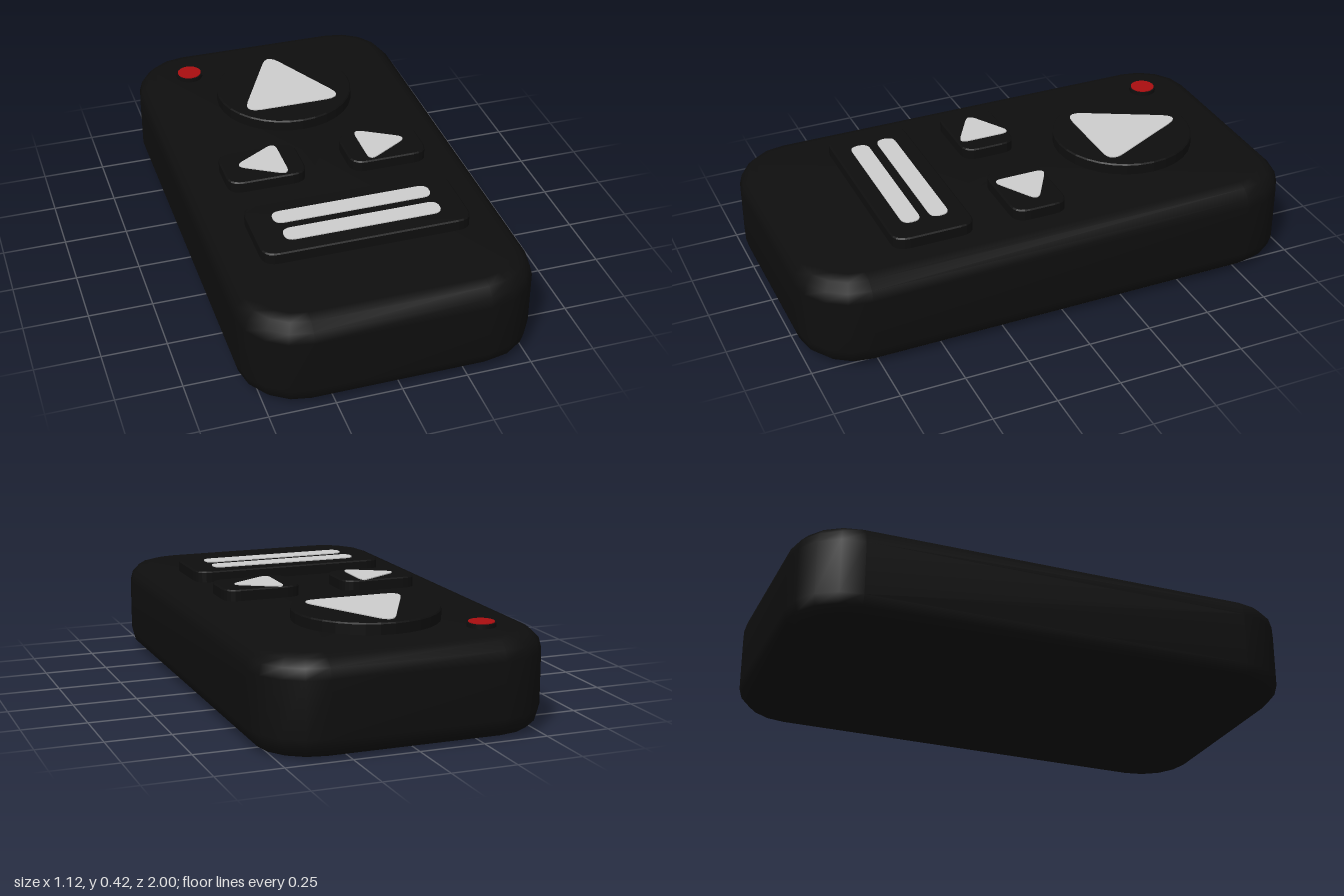
import * as THREE from 'three';

const mat = (name, color) => {
  const m = new THREE.MeshStandardMaterial({ color });
  m.name = name;
  return m;
};

// Closed outline from [x, z] corners, each corner rounded off by the given cut
function roundedOutline(corners, cut) {
  const pts = corners.map(([x, z]) => new THREE.Vector2(x, -z));
  if (THREE.ShapeUtils.area(pts) < 0) pts.reverse();
  const shape = new THREE.Shape();
  pts.forEach((p, i) => {
    const prev = pts[(i + pts.length - 1) % pts.length];
    const next = pts[(i + 1) % pts.length];
    const a = p.clone().add(prev.clone().sub(p).setLength(cut));
    const b = p.clone().add(next.clone().sub(p).setLength(cut));
    if (i === 0) shape.moveTo(a.x, a.y);
    else shape.lineTo(a.x, a.y);
    shape.quadraticCurveTo(p.x, p.y, b.x, b.y);
  });
  shape.closePath();
  return shape;
}

const rect = (x0, x1, z0, z1) => [[x0, z0], [x1, z0], [x1, z1], [x0, z1]];

// Upright slab from an outline, standing between y0 and y1
function slab(shape, y0, y1, bevel = 0) {
  const geo = new THREE.ExtrudeGeometry(shape, {
    depth: y1 - y0 - bevel, curveSegments: 5, bevelEnabled: bevel > 0,
    bevelThickness: bevel, bevelSize: bevel, bevelOffset: -bevel, bevelSegments: 1,
  });
  return geo.rotateX(-Math.PI / 2).translate(0, y0, 0);
}

// Rounded body: stacked rounded-rectangle rings, closed by flat caps
function bodyGeometry(w, l, h, radius, bevel, cornerSegs, bevelSegs) {
  const rings = [];
  for (let i = 0; i <= bevelSegs; i++) {
    const a = (i / bevelSegs) * Math.PI / 2;
    rings.push([bevel * (1 - Math.sin(a)), bevel * (1 - Math.cos(a))]);
  }
  for (let i = bevelSegs; i >= 0; i--) rings.push([rings[i][0], h - rings[i][1]]);

  const pos = [], index = [], n = 4 * (cornerSegs + 1);
  for (const [inset, y] of rings) {
    for (let c = 0; c < 4; c++) {
      const cx = (c === 0 || c === 3 ? 1 : -1) * (w / 2 - radius);
      const cz = (c < 2 ? 1 : -1) * (l / 2 - radius);
      for (let s = 0; s <= cornerSegs; s++) {
        const a = (c + s / cornerSegs) * Math.PI / 2;
        pos.push(cx + (radius - inset) * Math.cos(a), y, cz + (radius - inset) * Math.sin(a));
      }
    }
  }
  for (let r = 0; r < rings.length - 1; r++) {
    for (let i = 0; i < n; i++) {
      const a = r * n + i, b = r * n + (i + 1) % n;
      index.push(a, a + n, b, b, a + n, b + n);
    }
  }
  const bottom = pos.length / 3;
  pos.push(0, 0, 0, 0, h, 0);
  const last = (rings.length - 1) * n;
  for (let i = 0; i < n; i++) {
    const j = (i + 1) % n;
    index.push(bottom, i, j, bottom + 1, last + j, last + i);
  }
  const geo = new THREE.BufferGeometry();
  geo.setAttribute('position', new THREE.Float32BufferAttribute(pos, 3));
  geo.setIndex(index);
  geo.computeVertexNormals();
  return geo;
}

export function createModel() {
  const black = mat('black plastic', 0x0e0e0e);
  const grey = mat('light grey print', 0xcccccc);
  const red = mat('red indicator', 0xa80d10);
  const model = new THREE.Group();
  model.name = 'remoteControl';
  const add = (name, geo, material) => {
    const mesh = new THREE.Mesh(geo, material);
    mesh.name = name;
    model.add(mesh);
    return mesh;
  };

  const deck = 0.37, keyTop = 0.414, iconTop = 0.418, sunk = 0.35;

  add('body', bodyGeometry(1.12, 2, deck, 0.23, 0.08, 4, 3), black);

  // Large round key with its triangle
  const disc = new THREE.Shape().absarc(0, 0.5, 0.28, 0, Math.PI * 2);
  const roundKey = new THREE.ExtrudeGeometry(disc, {
    depth: keyTop - sunk - 0.005, curveSegments: 16,
    bevelThickness: 0.005, bevelSize: 0.005, bevelOffset: -0.005, bevelSegments: 1,
  });
  add('roundKey', roundKey.rotateX(-Math.PI / 2).translate(0, sunk, 0), black);
  const up = roundedOutline([[0, -0.77], [0.215, -0.345], [-0.215, -0.345]], 0.08);
  add('upTriangle', slab(up, keyTop - 0.003, iconTop), grey);

  // Pair of side keys with outward triangles
  for (const [side, s] of [['left', 1], ['right', -1]]) {
    const key = roundedOutline(rect(s * 0.09, s * 0.403, -0.073, 0.147), 0.06);
    add(side + 'Key', slab(key, sunk, keyTop, 0.005), black);
    const arrow = roundedOutline([[s * 0.162, -0.085], [s * 0.355, 0.03], [s * 0.162, 0.145]], 0.045);
    add(side + 'Triangle', slab(arrow, keyTop - 0.003, iconTop), grey);
  }

  // Wide key with two bars
  const wide = roundedOutline(rect(-0.403, 0.403, 0.305, 0.625), 0.06);
  add('wideKey', slab(wide, sunk, keyTop, 0.005), black);
  for (const [name, x0, z0] of [['upperBar', -0.31, 0.372], ['lowerBar', -0.3, 0.484]]) {
    const bar = roundedOutline(rect(x0, 0.307, z0, z0 + 0.074), 0.036);
    add(name, slab(bar, keyTop - 0.003, iconTop), grey);
  }

  // Indicator light in a low black rim
  const rim = add('lightRim', new THREE.CylinderGeometry(0.055, 0.055, 0.036, 20), black);
  rim.position.set(-0.34, 0.368, -0.775);
  const lamp = add('light', new THREE.CylinderGeometry(0.049, 0.049, 0.006, 20), red);
  lamp.position.set(-0.34, 0.386, -0.775);

  return model;
}
